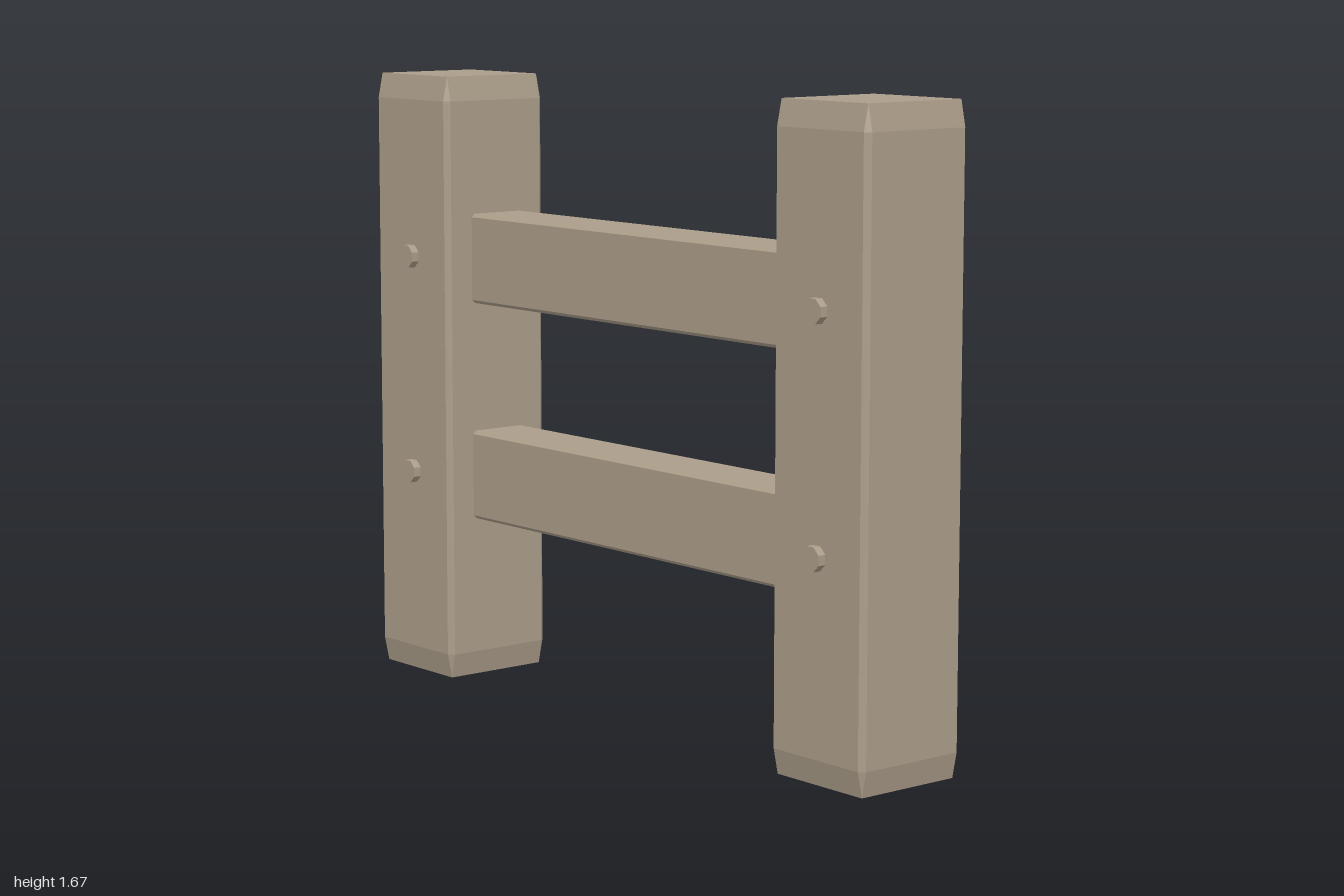
import * as THREE from 'three';
import { ConvexGeometry } from 'three/addons/geometries/ConvexGeometry.js';

const POST_X = 0.833, POST_Z = -0.011, POST_HALF = 0.166, POST_HEIGHT = 1.667;

// Square post: bevelled vertical edges that run to a point at the tapered ends
function postGeometry() {
  const h = POST_HALF, inner = h - 0.014, taper = 0.067;
  const points = [];
  for (const sx of [-1, 1]) for (const sz of [-1, 1]) {
    for (const y of [0, POST_HEIGHT]) points.push(new THREE.Vector3(sx * inner, y, sz * inner));
    for (const y of [taper, POST_HEIGHT - taper]) {
      points.push(new THREE.Vector3(sx * h, y, sz * inner));
      points.push(new THREE.Vector3(sx * inner, y, sz * h));
    }
  }
  return new ConvexGeometry(points);
}

// Horizontal rail with narrow bevels along its long edges
function railGeometry() {
  const l = 0.672, hy = 0.123, hz = 0.086, c = 0.009;
  const points = [];
  for (const x of [-l, l]) for (const sy of [-1, 1]) for (const sz of [-1, 1]) {
    points.push(new THREE.Vector3(x, sy * hy, sz * (hz - c)));
    points.push(new THREE.Vector3(x, sy * (hy - c), sz * hz));
  }
  return new ConvexGeometry(points);
}

export function createModel() {
  const group = new THREE.Group();
  group.name = 'fence';
  const wood = new THREE.MeshStandardMaterial({ color: 0xab9d89 });
  wood.name = 'weatheredWood';
  // Pegs are faceted like the rest of the timber
  const pegGeo = new THREE.CylinderGeometry(0.033, 0.033, 0.04, 8)
    .rotateY(Math.PI / 8).rotateX(Math.PI / 2).toNonIndexed();
  pegGeo.computeVertexNormals();

  const add = (name, geometry, x, y, z) => {
    const mesh = new THREE.Mesh(geometry, wood);
    mesh.name = name;
    mesh.position.set(x, y, z);
    group.add(mesh);
  };

  const postGeo = postGeometry(), railGeo = railGeometry();
  const levels = [['lower', 0.567], ['upper', 1.168]];

  // Posts with their pegs on the front
  for (const [side, s] of [['Left', 1], ['Right', -1]]) {
    add('post' + side, postGeo, s * POST_X, 0, POST_Z);
    for (const [level, y] of levels) add(level + 'Peg' + side, pegGeo, s * POST_X, y, 0.157);
  }

  // Two rails between the posts
  for (const [level, y] of levels) add(level + 'Rail', railGeo, 0, y, -0.014);

  return group;
}
